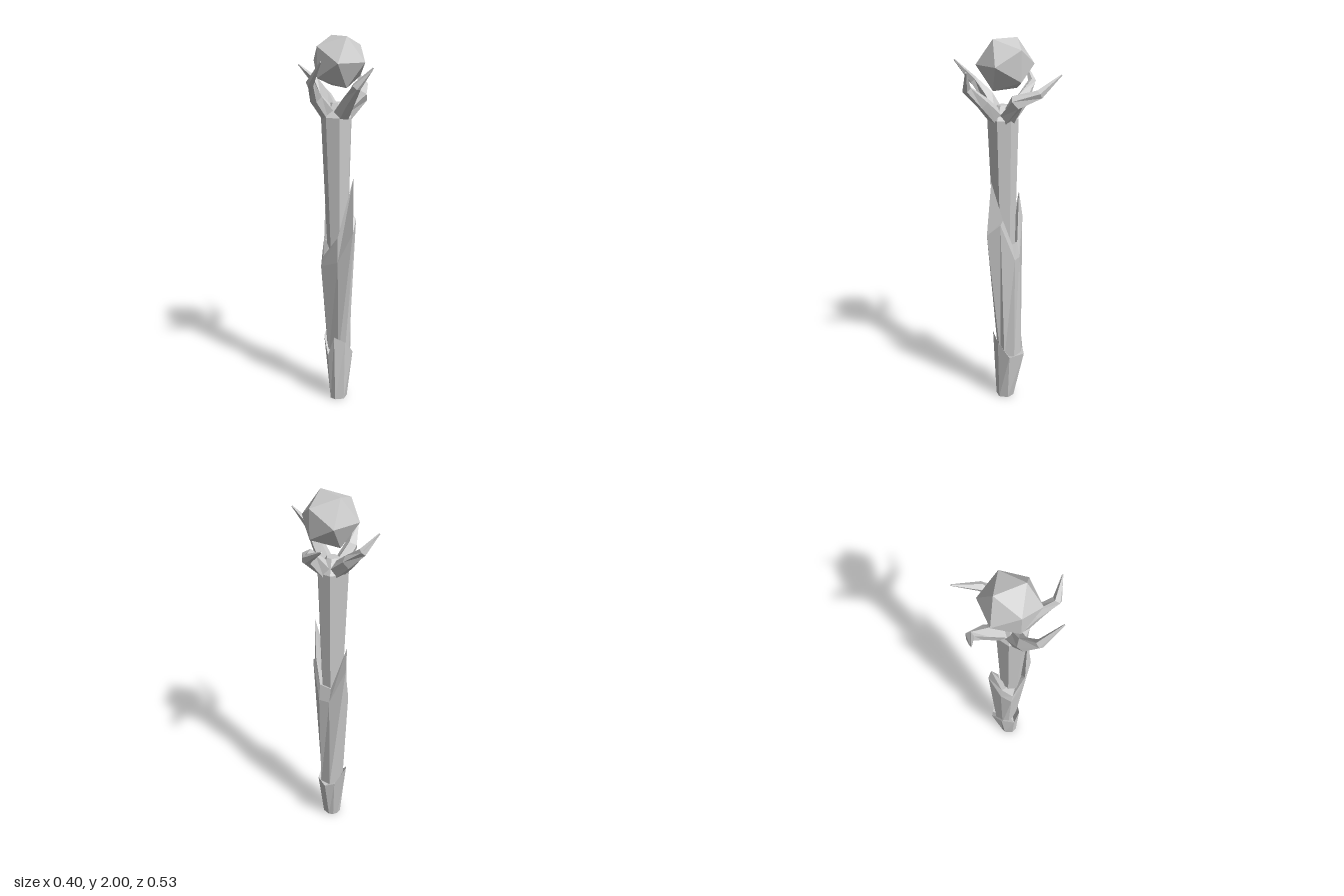
import * as THREE from 'three';

const V = (p) => new THREE.Vector3(...p);

// Flat-shaded skin through rings of equal length, closed at both ends
function loft(name, rings, side = THREE.FrontSide) {
  const n = rings[0].length, pos = [];
  const tri = (...pts) => pts.forEach((p) => pos.push(p.x, p.y, p.z));
  for (let i = 0; i < rings.length - 1; i++) {
    for (let j = 0; j < n; j++) {
      const k = (j + 1) % n;
      const a = rings[i][j], b = rings[i][k], c = rings[i + 1][k], d = rings[i + 1][j];
      tri(a, b, c);
      tri(a, c, d);
    }
  }
  const centre = (r) => r.reduce((s, p) => s.add(p), new THREE.Vector3()).divideScalar(n);
  const first = rings[0], last = rings[rings.length - 1];
  const c0 = centre(first), c1 = centre(last);
  for (let j = 0; j < n; j++) {
    const k = (j + 1) % n;
    tri(c0, first[k], first[j]);
    tri(c1, last[j], last[k]);
  }
  const g = new THREE.BufferGeometry();
  g.setAttribute('position', new THREE.Float32BufferAttribute(pos, 3));
  g.computeVertexNormals();
  const mat = new THREE.MeshStandardMaterial({ color: 0xcccccc, flatShading: true, side });
  const mesh = new THREE.Mesh(g, mat);
  mesh.name = name;
  return mesh;
}

// Level ring of n points
function circle(x, y, z, r, n, turn = 0) {
  return Array.from({ length: n }, (_, i) => {
    const a = turn + (i / n) * Math.PI * 2;
    return new THREE.Vector3(x + r * Math.sin(a), y, z + r * Math.cos(a));
  });
}

// Ring of radius r whose points lie below those of a ragged rim
function under(rim, x, y, z, r) {
  return rim.map((p) => new THREE.Vector3(p.x - x, 0, p.z - z).setLength(r).add(V([x, y, z])));
}

// Ring drawn in from the rim, so the ragged tips become solid wedges
function inside(rim, x, y, z) {
  return rim.map((p) => new THREE.Vector3(x + (p.x - x) * 0.5, y, z + (p.z - z) * 0.5));
}

// Tapered limb along points [x, y, z, radius]
function limb(name, path, sides = 5) {
  const pts = path.map((p) => V(p.slice(0, 3)));
  const rings = pts.map((p, i) => {
    const dir = pts[Math.min(i + 1, pts.length - 1)].clone()
      .sub(pts[Math.max(i - 1, 0)]).normalize();
    const u = new THREE.Vector3(0, 1, 0).cross(dir).normalize();
    const v = dir.clone().cross(u);
    return Array.from({ length: sides }, (_, j) => {
      const a = (j / sides) * Math.PI * 2 + Math.PI / 2;
      return p.clone().addScaledVector(u, Math.cos(a) * path[i][3])
        .addScaledVector(v, Math.sin(a) * path[i][3]);
    });
  });
  return loft(name, rings);
}

export function createModel() {
  const staff = new THREE.Group();
  staff.name = 'staff';

  // Foot with a ragged upper rim
  const footRim = [
    [0, 0.39, 0.08], [0.06, 0.35, 0.06], [0.1, 0.27, 0], [0.07, 0.275, -0.085],
    [0.015, 0.285, -0.085], [-0.045, 0.385, -0.08], [-0.06, 0.355, -0.02], [-0.035, 0.27, 0.055],
  ].map(V);
  staff.add(loft('foot', [
    under(footRim, 0.02, 0, 0.015, 0.05), footRim, inside(footRim, 0.02, 0.27, 0),
  ], THREE.DoubleSide));

  // Middle length, swelling upward and split into two long points
  const swell = [
    [0.02, 0.83, 0.095], [0.1, 1.0, 0.12], [0.115, 1.06, 0.05], [0.092, 0.85, -0.03],
    [0.04, 0.85, -0.062], [-0.045, 1.06, -0.088], [-0.068, 0.85, -0.02], [-0.072, 0.79, 0.04],
  ].map(V);
  const middleRim = [
    [0.02, 0.97, 0.1], [0.1, 1.29, 0.095], [0.1, 1.08, 0.035], [0.085, 0.94, -0.015],
    [0.03, 0.93, -0.05], [-0.052, 1.19, -0.07], [-0.058, 0.93, -0.015], [-0.06, 0.85, 0.045],
  ].map(V);
  staff.add(loft('middleShaft', [
    under(swell, 0.025, 0.26, -0.01, 0.064), swell, middleRim, inside(middleRim, 0.02, 0.92, 0.02),
  ], THREE.DoubleSide));

  // Upper shaft
  staff.add(loft('upperShaft', [
    circle(0.018, 0.85, 0.018, 0.055, 7, 0.2),
    circle(0.012, 1.6, 0.025, 0.082, 7, 0.2),
    circle(0.012, 1.67, 0.025, 0.03, 7, 0.2),
  ]));

  // Four hooked prongs, each turning the same way round
  [
    [[0.045, 1.6, 0.01, 0.045], [0.135, 1.7, -0.03, 0.04], [0.145, 1.74, -0.14, 0.024], [0.09, 1.825, -0.26, 0.004]],
    [[0, 1.6, 0, 0.045], [-0.055, 1.69, -0.09, 0.036], [-0.115, 1.765, -0.145, 0.022], [-0.195, 1.845, -0.122, 0.004]],
    [[-0.02, 1.6, 0.035, 0.045], [-0.09, 1.7, 0.09, 0.034], [-0.112, 1.78, 0.165, 0.022], [-0.055, 1.89, 0.26, 0.004]],
    [[0.03, 1.6, 0.05, 0.045], [0.075, 1.69, 0.13, 0.035], [0.115, 1.77, 0.215, 0.024], [0.195, 1.86, 0.222, 0.004]],
  ].forEach((path) => staff.add(limb('prong', path)));

  // Faceted orb floating above the prongs
  const orb = new THREE.Mesh(
    new THREE.IcosahedronGeometry(0.148, 0),
    new THREE.MeshStandardMaterial({ color: 0xcccccc, flatShading: true }),
  );
  orb.name = 'orb';
  orb.position.set(0.022, 1.874, 0.013);
  orb.rotation.y = -1.013;
  staff.add(orb);

  return staff;
}
